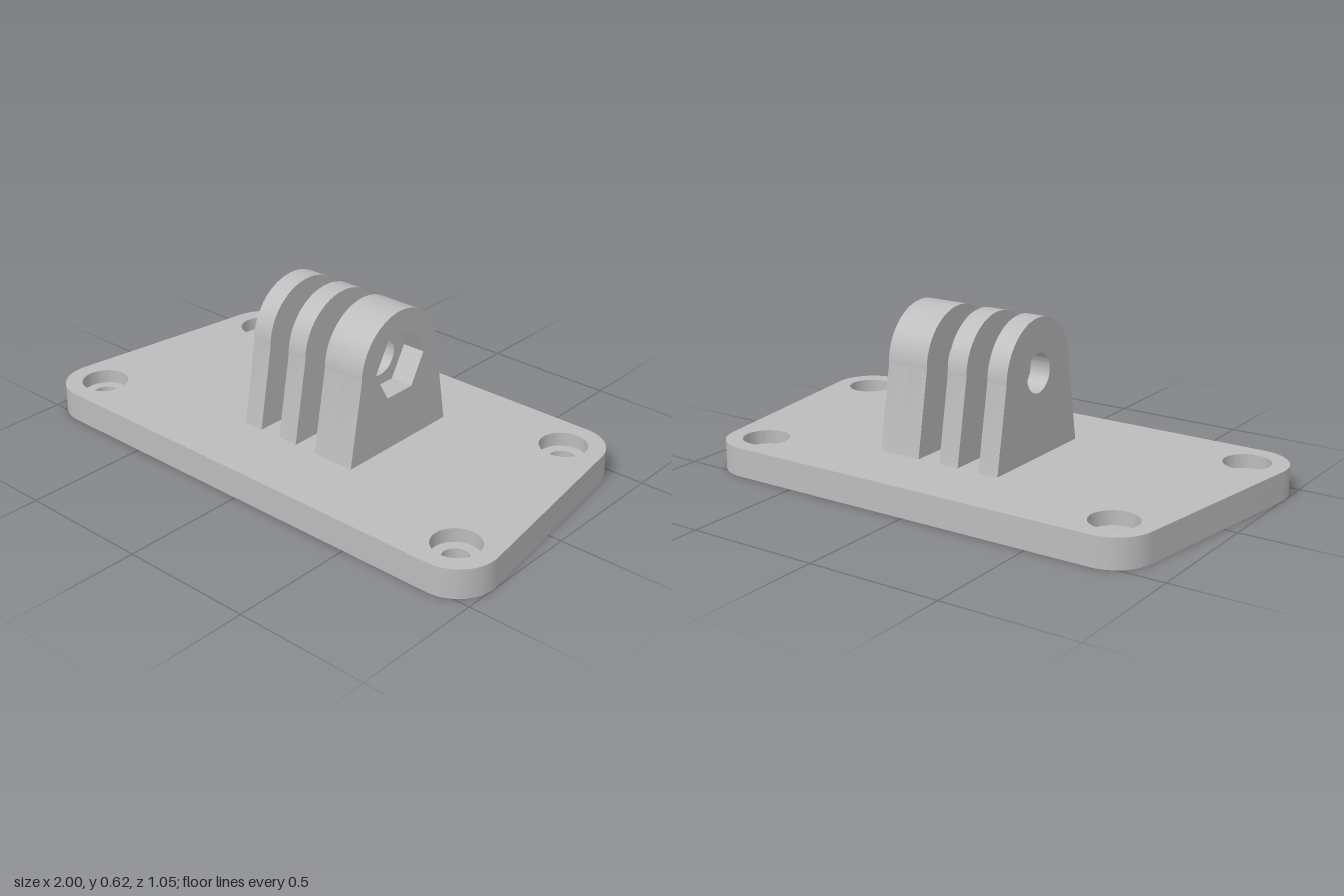
import * as THREE from 'three';
import { toCreasedNormals } from 'three/addons/utils/BufferGeometryUtils.js';

const PLATE_TOP = 0.11, BORE_FLOOR = 0.058;
const FRONT_X = 0.85, BACK_X = 0.743, CORNER_Z = 0.377, CORNER_R = 0.15;
const PIVOT_Y = 0.423, KNUCKLE_R = 0.202, FOOT_HALF = 0.257;

function circleHole(x, y, r) {
  return new THREE.Path().absarc(x, y, r, 0, Math.PI * 2, true);
}

function extrude(shape, depth) {
  const geo = new THREE.ExtrudeGeometry(shape, { depth, bevelEnabled: false, curveSegments: 32 });
  return toCreasedNormals(geo, 0.5);
}

// Trapezoid plate outline with round corners and a hole in each corner
function plateShape(holeRadius) {
  const a = Math.atan2(FRONT_X - BACK_X, 2 * CORNER_Z);
  const P = Math.PI;
  const s = new THREE.Shape();
  s.absarc(FRONT_X, -CORNER_Z, CORNER_R, -P / 2, a, false);
  s.absarc(BACK_X, CORNER_Z, CORNER_R, a, P / 2, false);
  s.absarc(-BACK_X, CORNER_Z, CORNER_R, P / 2, P - a, false);
  s.absarc(-FRONT_X, -CORNER_Z, CORNER_R, P - a, P * 1.5, false);
  s.closePath();
  for (const side of [-1, 1]) {
    s.holes.push(circleHole(side * FRONT_X, -CORNER_Z, holeRadius));
    s.holes.push(circleHole(side * BACK_X, CORNER_Z, holeRadius));
  }
  return s;
}

// Tapered lug with a round top and a bolt hole or hexagonal nut pocket
function lugShape(hexagonal) {
  const s = new THREE.Shape();
  s.moveTo(-FOOT_HALF, PLATE_TOP);
  s.lineTo(FOOT_HALF, PLATE_TOP);
  s.absarc(0, PIVOT_Y, KNUCKLE_R, 0, Math.PI, false);
  s.closePath();
  if (hexagonal) {
    const corners = [];
    for (let i = 0; i < 6; i++) {
      const t = -i * Math.PI / 3;
      corners.push(new THREE.Vector2(0.129 * Math.cos(t), PIVOT_Y + 0.129 * Math.sin(t)));
    }
    const hex = new THREE.Path().setFromPoints(corners);
    hex.closePath();
    s.holes.push(hex);
  } else {
    s.holes.push(circleHole(0, PIVOT_Y, 0.073));
  }
  return s;
}

export function createModel() {
  const model = new THREE.Group();
  model.name = 'mountingBracket';
  const grey = new THREE.MeshStandardMaterial({ color: 0xbcbcbc });
  grey.name = 'grey';

  function add(name, geometry) {
    const mesh = new THREE.Mesh(geometry, grey);
    mesh.name = name;
    model.add(mesh);
  }

  // Base plate: screw holes below, wider counterbores above
  const layers = [
    ['plateLower', 0, BORE_FLOOR, 0.048],
    ['plateUpper', BORE_FLOOR, PLATE_TOP, 0.087],
  ];
  for (const [name, y0, y1, r] of layers) {
    add(name, extrude(plateShape(r), y1 - y0).rotateX(-Math.PI / 2).translate(0, y0, 0));
  }

  // Hinge lugs; the thick one holds the nut pocket on its left face
  const lugs = [
    ['rightLug', -0.211, -0.131, false],
    ['middleLug', -0.043, 0.037, false],
    ['leftLug', 0.128, 0.208, false],
    ['nutPocket', 0.208, 0.297, true],
  ];
  for (const [name, x0, x1, hexagonal] of lugs) {
    add(name, extrude(lugShape(hexagonal), x1 - x0).rotateY(Math.PI / 2).translate(x0, 0, 0));
  }
  return model;
}
